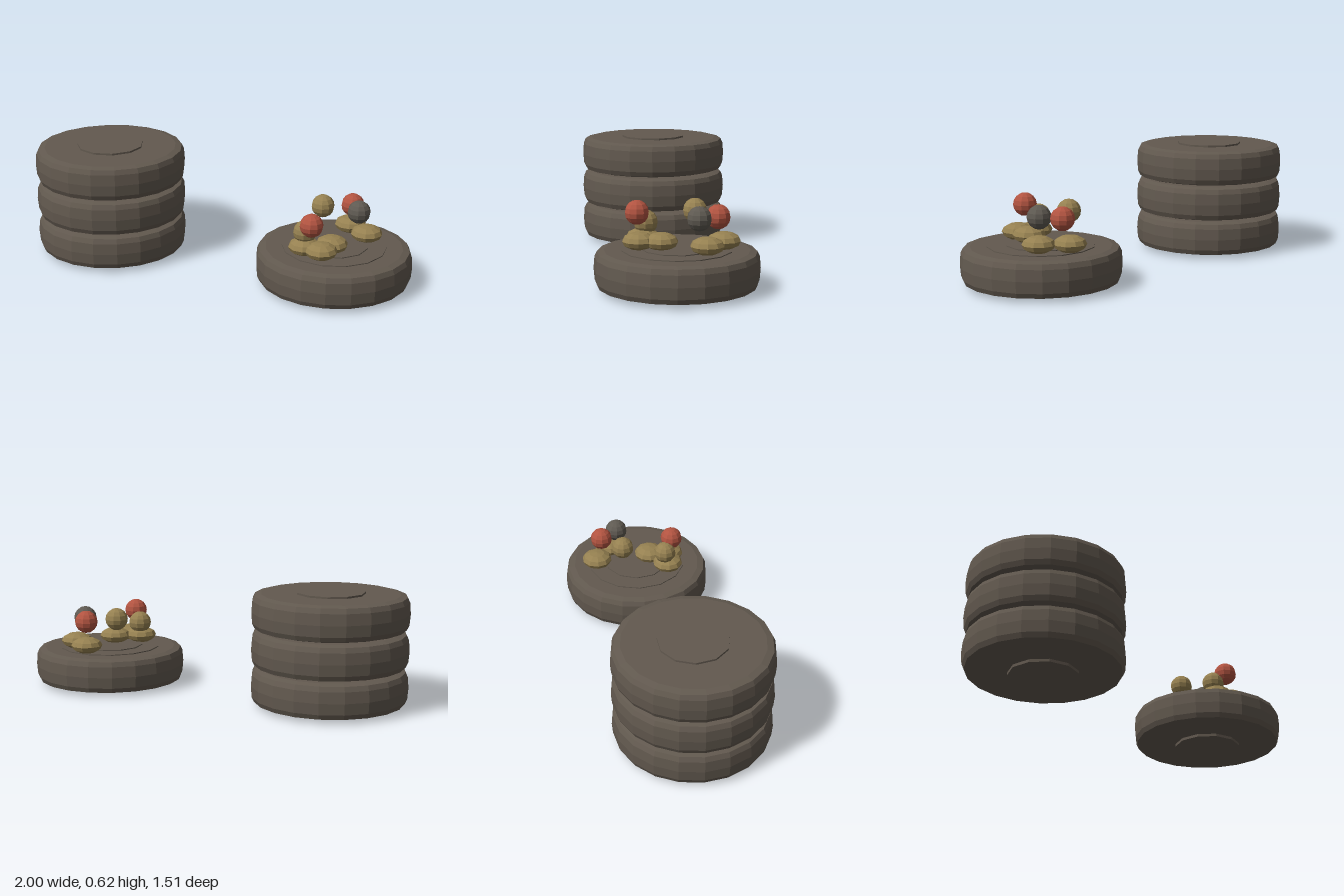
import * as THREE from 'three';

const mat = (name, color) => new THREE.MeshStandardMaterial({ name, color, flatShading: true });

export function createModel() {
  const group = new THREE.Group();
  const stone = mat('brownStone', 0x62594f);
  const tan = mat('tan', 0x968151);
  const red = mat('red', 0xb25441);
  const grey = mat('darkGrey', 0x5f5a52);

  const add = (parent, name, geometry, material, x, y, z) => {
    const mesh = new THREE.Mesh(geometry, material);
    mesh.name = name;
    mesh.position.set(x, y, z);
    parent.add(mesh);
    return mesh;
  };

  // Thick drum with a bevelled, faintly bulging rim
  const profile = [
    [0, 0.015], [0.37, 0.015], [0.405, 0.024], [0.417, 0.05], [0.422, 0.11],
    [0.417, 0.17], [0.405, 0.196], [0.37, 0.205], [0, 0.205],
  ].map(([r, y]) => new THREE.Vector2(r, y));
  const drumGeometry = new THREE.LatheGeometry(profile, 20);
  const hubGeometry = new THREE.CylinderGeometry(0.185, 0.185, 0.215, 11);

  const addDrum = (name, x, y, z) => {
    const drum = new THREE.Group();
    drum.name = name;
    drum.position.set(x, y, z);
    add(drum, 'rim', drumGeometry, stone, 0, 0, 0);
    add(drum, 'hub', hubGeometry, stone, 0, 0.1075, 0);
    group.add(drum);
    return drum;
  };

  // Stack of three drums at the back
  for (let i = 0; i < 3; i++) addDrum('stackedDrum' + (i + 1), -0.578, i * 0.2, -0.336);

  // Single drum in front, used as a table with a wide raised top
  const table = addDrum('tableDrum', 0.576, 0, 0.334);
  add(table, 'tableTop', new THREE.CylinderGeometry(0.283, 0.283, 0.02, 14), stone, 0, 0.2, 0);

  // Flattened buns resting on the table
  const bunGeometry = new THREE.SphereGeometry(0.087, 10, 6).scale(1, 0.52, 1);
  [[0.71, 0.14], [0.765, 0.288], [0.545, 0.41], [0.47, 0.495], [0.395, 0.42]]
    .forEach(([x, z]) => add(group, 'bun', bunGeometry, tan, x, 0.25, z));

  // Round fruit above the buns
  const ballGeometry = new THREE.SphereGeometry(0.063, 10, 8);
  [
    [tan, 0.54, 0.385, 0.195], [tan, 0.4, 0.325, 0.403],
    [red, 0.71, 0.376, 0.178], [red, 0.42, 0.386, 0.472],
    [grey, 0.715, 0.38, 0.3],
  ].forEach(([m, x, y, z]) => add(group, 'fruit', ballGeometry, m, x, y, z));

  return group;
}
